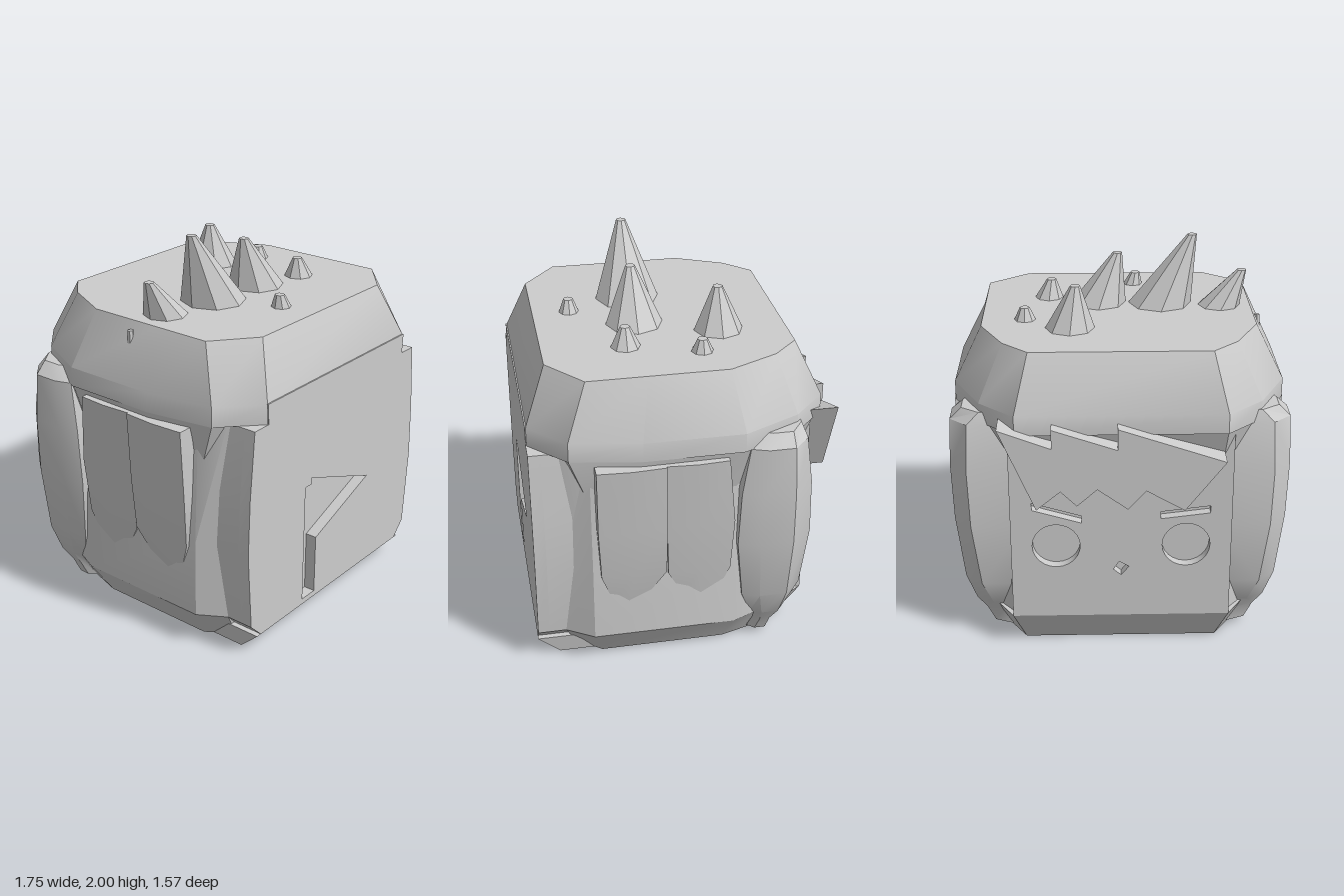
import * as THREE from 'three';
import { toCreasedNormals } from 'three/addons/utils/BufferGeometryUtils.js';

const stone = new THREE.MeshStandardMaterial({ color: 0xcccccc, side: THREE.DoubleSide });
stone.name = 'pale grey';

function part(name, geometry, parent) {
  const mesh = new THREE.Mesh(toCreasedNormals(geometry, 0.5), stone);
  mesh.name = name;
  parent.add(mesh);
  return mesh;
}

// Skin over rings of [x, y, z], listed bottom to top and clockwise from above
function loft(rings, capBottom = true) {
  const n = rings[0].length;
  const index = [];
  for (let i = 0; i < rings.length - 1; i++) {
    for (let j = 0; j < n; j++) {
      const a = i * n + j, b = i * n + (j + 1) % n;
      index.push(a, a + n, b, b, a + n, b + n);
    }
  }
  const top = (rings.length - 1) * n;
  for (let j = 1; j < n - 1; j++) {
    index.push(top, top + j + 1, top + j);
    if (capBottom) index.push(0, j, j + 1);
  }
  const g = new THREE.BufferGeometry();
  g.setAttribute('position', new THREE.Float32BufferAttribute(rings.flat(2), 3));
  g.setIndex(index);
  return g;
}

// Mirror a right-hand half outline of [x, z], back to front
const mirrored = (half) => [...half, ...half.slice().reverse().map(([x, z]) => [-x, z])];
const ring = (y, half) => mirrored(half).map(([x, z]) => [x, y, z]);
const shapeOf = (pts) => new THREE.Shape(pts.map(([x, y]) => new THREE.Vector2(x, y)));

function slab(shape, z, depth) {
  const g = new THREE.ExtrudeGeometry(shape, { depth, bevelEnabled: false, curveSegments: 12 });
  return g.translate(0, 0, z);
}

export function createModel() {
  const model = new THREE.Group();
  model.name = 'spikedBlockHead';

  // Body core, with the back set in behind the face plate
  const bottom = [[0.5, -0.55], [0.6, -0.4], [0.66, -0.2], [0.66, 0.45], [0.56, 0.58]];
  const wide = [[0.56, -0.65], [0.7, -0.43], [0.785, -0.23], [0.785, 0.5], [0.7, 0.64]];
  const inset = [[0.56, -0.6], ...wide.slice(1)];
  const upper = [[0.56, -0.6], [0.69, -0.43], [0.755, -0.23], [0.755, 0.5], [0.69, 0.64]];
  part('body', loft([ring(0, bottom), ring(0.19, wide), ring(0.191, inset),
    ring(0.6, inset), ring(1.3, upper)], false), model);

  // Underside with a square hollow
  const base = shapeOf(mirrored(bottom));
  base.holes.push(shapeOf([[-0.2, -0.16], [0.2, -0.16], [0.2, 0.16], [-0.2, 0.16]]));
  part('underside', new THREE.ShapeGeometry(base).rotateX(Math.PI / 2), model);
  part('undersideHollow', new THREE.ConeGeometry(Math.SQRT2, 0.35, 4, 1, true)
    .rotateY(Math.PI / 4).scale(0.2, 1, 0.16).translate(0, 0.175, 0), model);

  // Front panel with a pennant-shaped recess
  const frontHalf = [[0.62, 0.11], [0.7, 0.19], [0.73, 0.6], [0.72, 0.9], [0.69, 1.25],
    [0.585, 1.25], [0.59, 1.355]];
  part('frontPanelBack', slab(shapeOf(mirrored(frontHalf)), 0.45, 0.275), model);
  const front = shapeOf(mirrored(frontHalf));
  front.holes.push(shapeOf([[-0.27, 0.79], [-0.27, 0.14], [-0.165, 0.14], [-0.165, 0.46],
    [0.295, 0.635], [-0.22, 0.825], [-0.22, 0.79]]));
  part('frontPanel', slab(front, 0.725, 0.06), model);

  // Row of blocks below the front panel, parted by V grooves
  for (let i = -2; i <= 2; i++) {
    const g = slab(shapeOf([[0.4, 0], [0.67, 0], [0.785, 0.11], [0.4, 0.11]]), -0.13, 0.26);
    const p = g.attributes.position;
    for (let k = 0; k < p.count; k++) {
      if (p.getY(k) < 0.05) p.setZ(k, p.getZ(k) * 0.85);
    }
    g.rotateY(-Math.PI / 2).translate(i * 0.26, 0, 0);
    part('frontFringeBlock', g, model);
  }

  // Face on the back with recessed eyes, brows and nose
  const face = shapeOf([[-0.56, 0.19], [0.56, 0.19], [0.56, 1.3], [-0.56, 1.3]]);
  for (const s of [-1, 1]) {
    const eye = new THREE.Path();
    eye.absarc(s * 0.33, 0.605, 0.122, 0, Math.PI * 2, true);
    const outer = s > 0 ? 0.81 : 0.785, inner = s > 0 ? 0.735 : 0.755;
    face.holes.push(eye, shapeOf([[s * 0.2, inner], [s * 0.45, outer],
      [s * 0.45, outer + 0.04], [s * 0.2, inner + 0.04]]));
  }
  face.holes.push(shapeOf([[0, 0.43], [0.04, 0.465], [0.01, 0.51], [-0.04, 0.48]]));
  part('face', slab(face, -0.65, 0.055), model);

  // Jagged bangs over the face
  part('bangs', slab(shapeOf([[0.6, 1.31], [0.34, 1.21], [0.34, 1.31], [0.02, 1.2], [0.02, 1.31],
    [-0.51, 1.13], [-0.31, 0.87], [-0.12, 0.98], [-0.03, 0.88], [0.12, 0.99], [0.22, 0.9],
    [0.3, 0.98], [0.42, 0.88]]), -0.78, 0.15), model);

  // Bevelled cap
  const capLow = [[0.5, -0.6], [0.6, -0.5], [0.755, -0.22], [0.765, 0.25], [0.74, 0.5], [0.5, 0.56]];
  const capSkirt = [[0.52, -0.7], [0.69, -0.54], [0.83, -0.25], [0.84, 0.25], [0.78, 0.6], [0.59, 0.66]];
  const capRim = [[0.52, -0.71], [0.7, -0.54], [0.84, -0.25], [0.84, 0.25], [0.78, 0.6], [0.59, 0.78]];
  const capTop = [[0.45, -0.58], [0.58, -0.45], [0.7, -0.2], [0.7, 0.2], [0.7, 0.5], [0.49, 0.67]];
  part('cap', loft([ring(0.97, capLow), ring(1.249, capSkirt), ring(1.25, capRim),
    ring(1.35, capRim), ring(1.63, capTop)]), model);

  // Leaning spikes: tip x, y, z, base x, base radius
  const spikes = [
    [-0.65, 1.82, 0.11, -0.53, 0.115], [-0.39, 2.0, 0.155, -0.22, 0.17],
    [0, 1.9, 0.17, 0.105, 0.15], [0.22, 1.85, -0.235, 0.25, 0.13],
    [0.48, 1.695, -0.105, 0.48, 0.06], [0.35, 1.73, 0.255, 0.365, 0.08],
    [-0.105, 1.695, 0.48, -0.09, 0.055],
  ];
  for (const [x, y, z, bx, r] of spikes) {
    const h = y - 1.62;
    const g = new THREE.CylinderGeometry(0.025, r, h, 8).translate(0, h / 2, 0);
    const p = g.attributes.position;
    for (let k = 0; k < p.count; k++) p.setX(k, p.getX(k) + (x - bx) * p.getY(k) / h);
    part('spike', g.translate(bx, 1.62, z), model);
  }
  part('stud', new THREE.CylinderGeometry(0.015, 0.02, 0.08, 6).translate(-0.735, 1.55, 0.06), model);

  // Side locks and hanging drapes: y, back z, front z, outer x
  const lockRows = [
    [0.03, -0.47, -0.34, 0.67], [0.12, -0.48, -0.36, 0.71], [0.2, -0.53, -0.33, 0.76],
    [0.35, -0.59, -0.27, 0.81], [0.7, -0.62, -0.23, 0.85], [1.0, -0.61, -0.24, 0.86],
    [1.25, -0.58, -0.28, 0.85], [1.31, -0.56, -0.33, 0.79],
  ];
  const lock = lockRows.map(([y, b, f, x]) => {
    const w = (f - b) * 0.28;
    return [[0.5, y, b], [x - 0.09, y, b], [x, y, b + w], [x, y, f - w], [x - 0.03, y, f], [0.5, y, f]];
  });
  const drape = (rows) => loft(rows.map(([y, b, f, x]) =>
    [[0.6, y, b], [x - 0.01, y, b], [x, y, (b + f) / 2], [x - 0.01, y, f], [0.6, y, f]]));
  for (const s of [-1, 1]) {
    const side = new THREE.Group();
    side.name = s > 0 ? 'leftSide' : 'rightSide';
    side.scale.x = s;
    part('sideLock', loft(lock), side);
    part('frontDrape', drape([[0.4, 0.24, 0.4, 0.785], [0.57, 0.13, 0.46, 0.815],
      [0.85, 0.13, 0.475, 0.845], [1.22, 0.14, 0.48, 0.875]]), side);
    part('rearDrape', drape([[0.4, -0.14, 0.04, 0.785], [0.55, -0.2, 0.12, 0.805],
      [0.85, -0.21, 0.13, 0.835], [1.22, -0.17, 0.14, 0.865]]), side);
    model.add(side);
  }
  return model;
}
